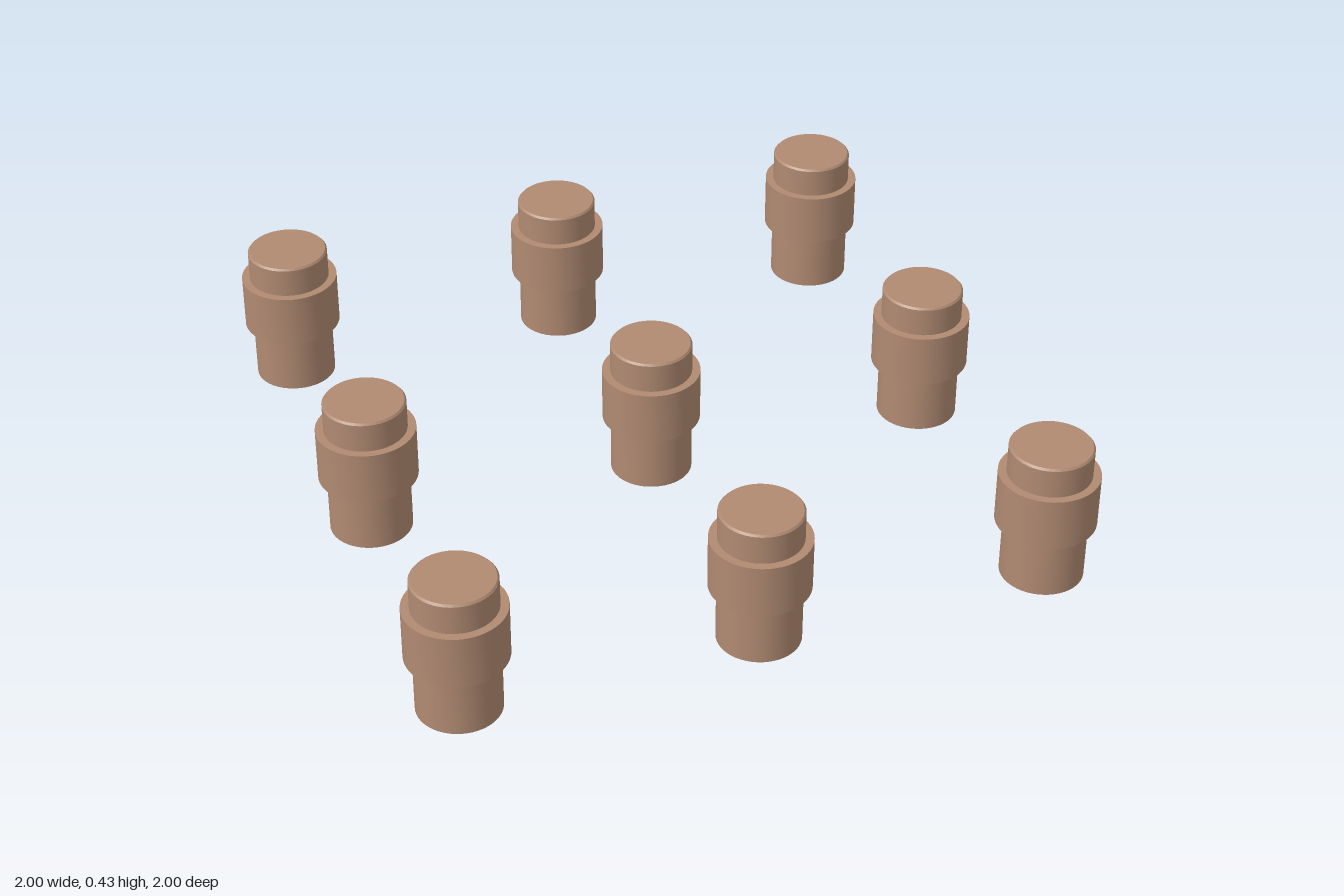
import * as THREE from 'three';
import { toCreasedNormals } from 'three/addons/utils/BufferGeometryUtils.js';

const SPACING = 0.857;
const SEGMENTS = 48;

// Revolves [radius, height] points, listed bottom to top, keeping edges crisp
function turned(points) {
  const profile = points.map(([r, y]) => new THREE.Vector2(r, y));
  return toCreasedNormals(new THREE.LatheGeometry(profile, SEGMENTS), 0.5);
}

export function createModel() {
  const model = new THREE.Group();
  model.name = 'pegGrid';
  const clay = new THREE.MeshStandardMaterial({ color: 0xb08a72 });
  clay.name = 'clay brown';

  // Straight peg with a slightly eased top edge
  const pegGeometry = turned([
    [0, 0], [0.119, 0], [0.119, 0.423], [0.114, 0.429], [0, 0.429],
  ]);
  // Wider band around the middle of the peg
  const collarGeometry = turned([
    [0.117, 0.178], [0.143, 0.178], [0.143, 0.337], [0.117, 0.337],
  ]);

  // Three by three arrangement
  for (const row of [-1, 0, 1]) {
    for (const column of [-1, 0, 1]) {
      const post = new THREE.Group();
      post.name = 'post';
      post.position.set(column * SPACING, 0, row * SPACING);

      const peg = new THREE.Mesh(pegGeometry, clay);
      peg.name = 'peg';
      const collar = new THREE.Mesh(collarGeometry, clay);
      collar.name = 'collar';

      post.add(peg, collar);
      model.add(post);
    }
  }
  return model;
}
